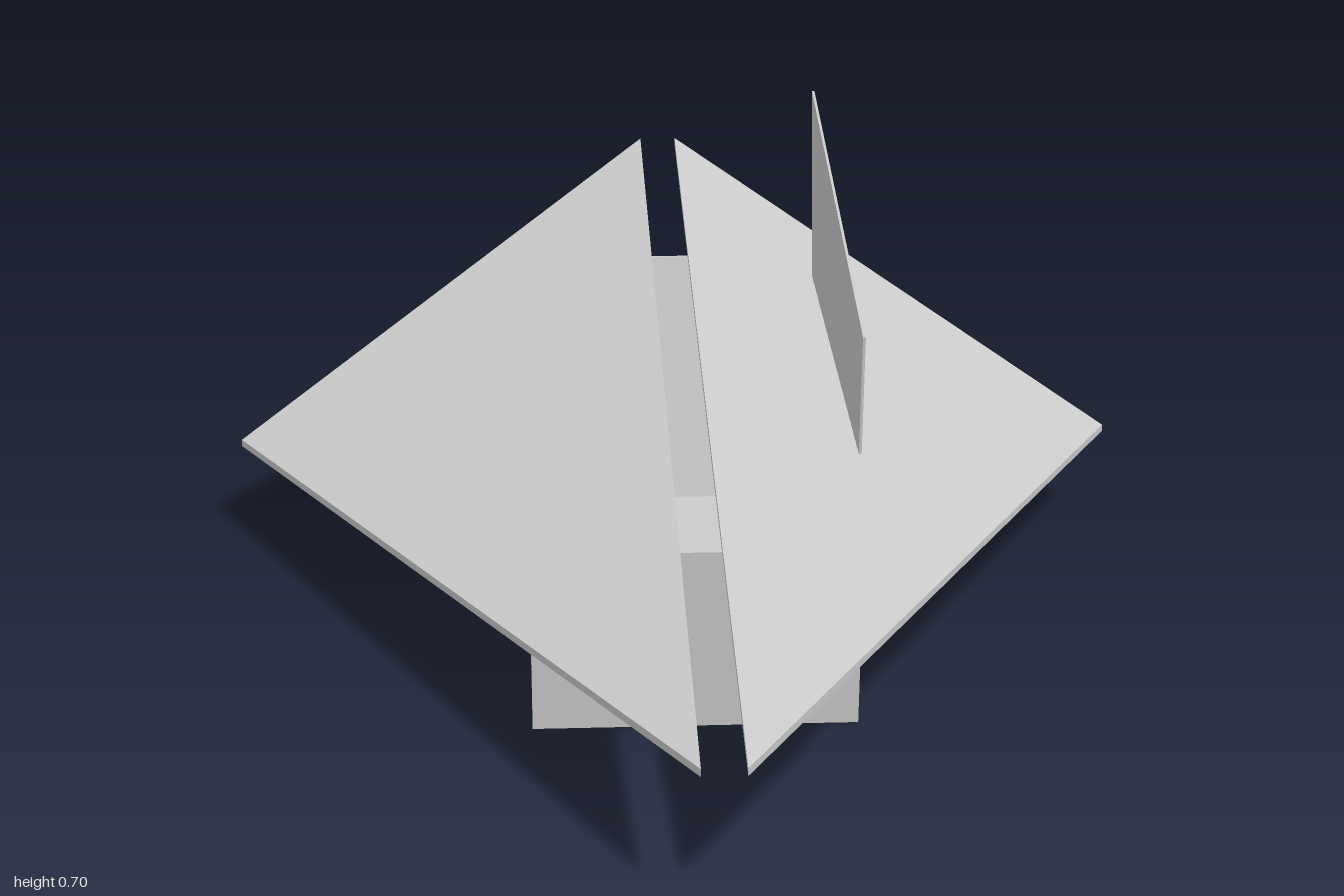
import * as THREE from 'three';

const material = new THREE.MeshStandardMaterial({ color: 0xcccccc, flatShading: true, side: THREE.DoubleSide });

// Flat convex plate: a 3D outline thickened along an offset vector.
function plate(name, outline, offset) {
  const off = new THREE.Vector3(...offset);
  let a = outline.map((p) => new THREE.Vector3(...p));
  const normal = a[1].clone().sub(a[0]).cross(a[2].clone().sub(a[0]));
  if (normal.dot(off) > 0) a.reverse();
  const b = a.map((p) => p.clone().add(off));
  const tris = [];
  const n = a.length;
  for (let i = 1; i < n - 1; i++) tris.push(a[0], a[i], a[i + 1], b[0], b[i + 1], b[i]);
  for (let i = 0; i < n; i++) {
    const j = (i + 1) % n;
    tris.push(a[i], b[i], b[j], a[i], b[j], a[j]);
  }
  const geometry = new THREE.BufferGeometry().setFromPoints(tris);
  geometry.computeVertexNormals();
  const mesh = new THREE.Mesh(geometry, material);
  mesh.name = name;
  return mesh;
}

// Side wall cut in the z-y plane, thickened along +x from the given x.
function sideWall(name, outline, x, hole) {
  const toPoints = (pts) => pts.map(([z, y]) => new THREE.Vector2(-z, y));
  const shape = new THREE.Shape(toPoints(outline));
  if (hole) shape.holes.push(new THREE.Path(toPoints(hole)));
  const geometry = new THREE.ExtrudeGeometry(shape, { depth: 0.004, bevelEnabled: false });
  geometry.rotateY(Math.PI / 2);
  const mesh = new THREE.Mesh(geometry, material);
  mesh.position.x = x;
  mesh.name = name;
  return mesh;
}

export function createModel() {
  const model = new THREE.Group();
  const left = 0.23, right = -0.24;

  // Two sloping triangular wings with a slot between them
  for (const s of [1, -1]) {
    model.add(plate(s > 0 ? 'leftWing' : 'rightWing',
      [[s * 0.03, 0.225, 1], [s * 0.03, 0.475, -1], [s * 0.7, 0.162, -0.365]], [0, -0.011, 0]));
  }

  // Open-topped box hung below the wings
  model.add(plate('floor', [[right, 0, 0.4], [left, 0, 0.4], [left, 0, -0.48], [right, 0, -0.48]], [0, 0.004, 0]));

  // End walls lean outward and follow the underside of the wings
  const endWall = (name, z, lean, sideY, topY, thickness) => {
    const outline = [[right, 0], [left, 0], [left, sideY], [0.03, topY], [-0.03, topY], [right, sideY]];
    model.add(plate(name, outline.map(([x, y]) => [x, y, z + lean * y]), [0, 0, thickness]));
  };
  endWall('frontWall', 0.4, 0.15, 0.213, 0.288, -0.004);
  endWall('backWall', -0.48, -0.175, 0.333, 0.403, 0.004);

  // Side walls: the right one is closed, the left one has a door opening
  const side = [[0.4, 0], [-0.48, 0], [-0.538, 0.333], [0.432, 0.213]];
  const opening = [[0.36, 0.012], [-0.44, 0.012], [-0.49, 0.31], [0.39, 0.197]];
  model.add(sideWall('rightWall', side, right));
  model.add(sideWall('leftWallFrame', side, left - 0.004, opening));

  // Loose door panel raised above the left wing
  const door = sideWall('doorPanel', opening, left - 0.002);
  door.position.y = 0.388;
  model.add(door);

  return model;
}
